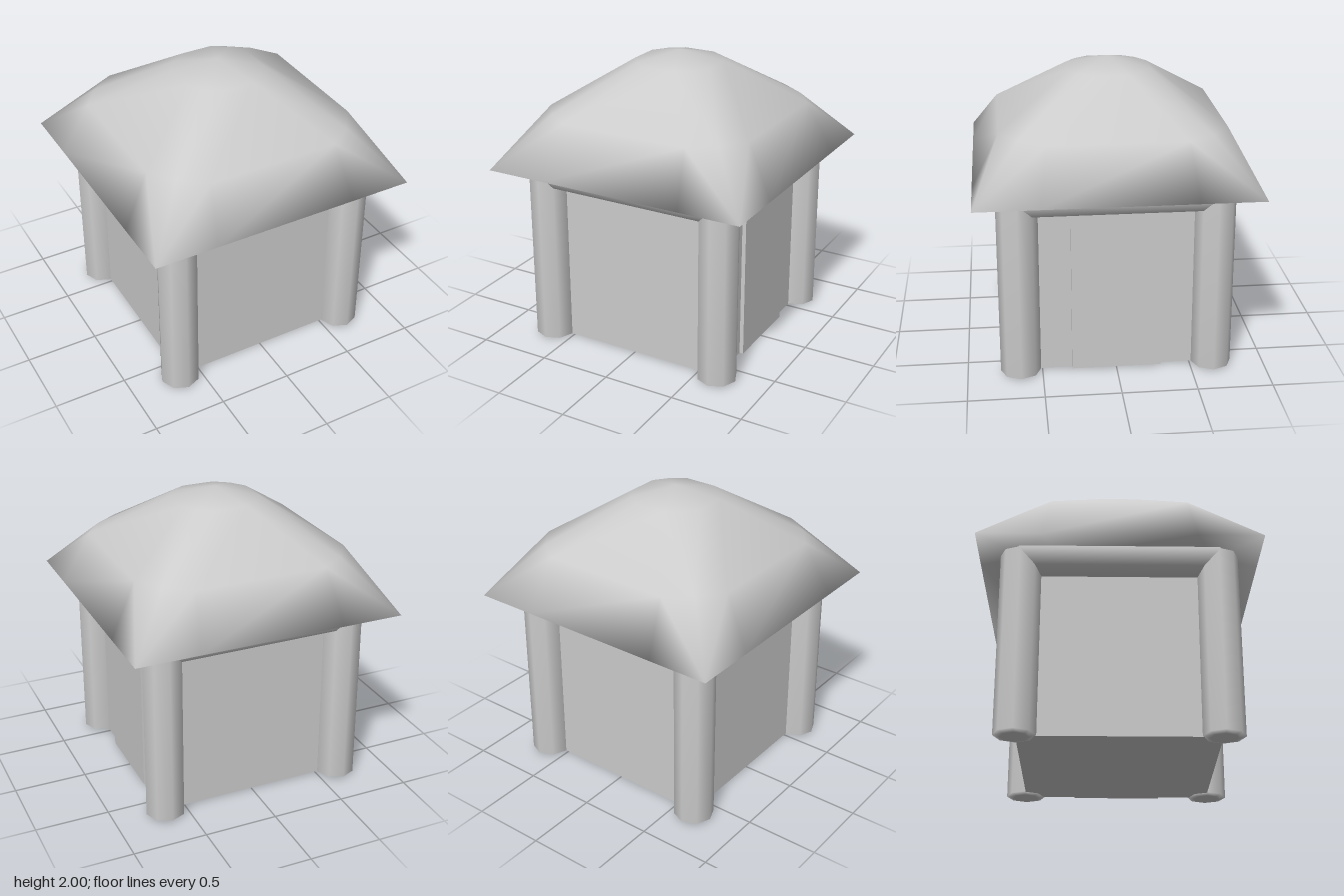
import * as THREE from 'three';

const EAVE = 1.27, POST = 0.645, RADIUS = 0.135;

// Twelve-point square ring: half-width, edge point offset, corner offset
function ring(y, half, edge, corner) {
  const points = [];
  for (let side = 0; side < 4; side++) {
    for (const [x, z] of [[-corner, corner], [-edge, half], [edge, half]]) {
      const p = new THREE.Vector3(x, y, z);
      for (let i = 0; i < side; i++) p.set(p.z, y, -p.x);
      points.push(p);
    }
  }
  return points;
}

// Domed roof: one smooth closed skin from underside to apex
function roofGeometry() {
  const rings = [
    ring(EAVE, 0.62, 0.4, 0.62),
    ring(EAVE, 0.925, 0.5, 0.925),
    ring(1.62, 0.745, 0.45, 0.62),
    ring(1.93, 0.28, 0.11, 0.21),
  ];
  const points = rings.flat();
  const bottom = points.push(new THREE.Vector3(0, EAVE, 0)) - 1;
  const apex = points.push(new THREE.Vector3(0, 2, 0)) - 1;
  const index = [];
  for (let i = 0; i < 12; i++) {
    const j = (i + 1) % 12;
    for (let r = 0; r < rings.length - 1; r++) {
      const a = r * 12 + i, b = r * 12 + j;
      // Diagonals fan out from the corner points, mirrored about each corner
      if (i % 3 === 2) index.push(a, b, a + 12, b, b + 12, a + 12);
      else index.push(a, b, b + 12, a, b + 12, a + 12);
    }
    index.push(bottom, j, i, 36 + i, 36 + j, apex);
  }
  const geometry = new THREE.BufferGeometry().setFromPoints(points);
  geometry.setIndex(index);
  geometry.computeVertexNormals();
  return geometry;
}

// Eight-sided log with softly rounded ends
function logGeometry(length) {
  const profile = [[0, 0], [0.09, 0], [RADIUS, 0.012], [RADIUS, length - 0.012], [0.09, length], [0, length]];
  return new THREE.LatheGeometry(profile.map(([x, y]) => new THREE.Vector2(x, y)), 8);
}

export function createModel() {
  const group = new THREE.Group();
  const grey = new THREE.MeshStandardMaterial({ color: 0xcccccc });
  grey.name = 'plain grey';

  function add(name, geometry, x = 0, y = 0, z = 0) {
    const mesh = new THREE.Mesh(geometry, grey);
    mesh.name = name;
    mesh.position.set(x, y, z);
    group.add(mesh);
    return mesh;
  }

  add('roof', roofGeometry());

  // Closed room, with a door panel standing proud of the left wall
  add('walls', new THREE.BoxGeometry(1.28, 1.24, 1.28), 0, 0.63, 0);
  add('door', new THREE.BoxGeometry(0.06, 1.19, 0.6), 0.637, 0.605, 0);

  // Corner posts
  const post = logGeometry(EAVE);
  for (const x of [-POST, POST]) {
    for (const z of [-POST, POST]) add('post', post, x, 0, z);
  }

  // Round beams under the eaves, mitred into the posts
  const beam = logGeometry(POST * 2 + 0.04).translate(0, -POST - 0.02, 0);
  for (const s of [-1, 1]) {
    add('crossBeam', beam, 0, 1.245, s * POST).rotation.z = Math.PI / 2;
    add('sideBeam', beam, s * POST, 1.245, 0).rotation.x = Math.PI / 2;
  }
  return group;
}
